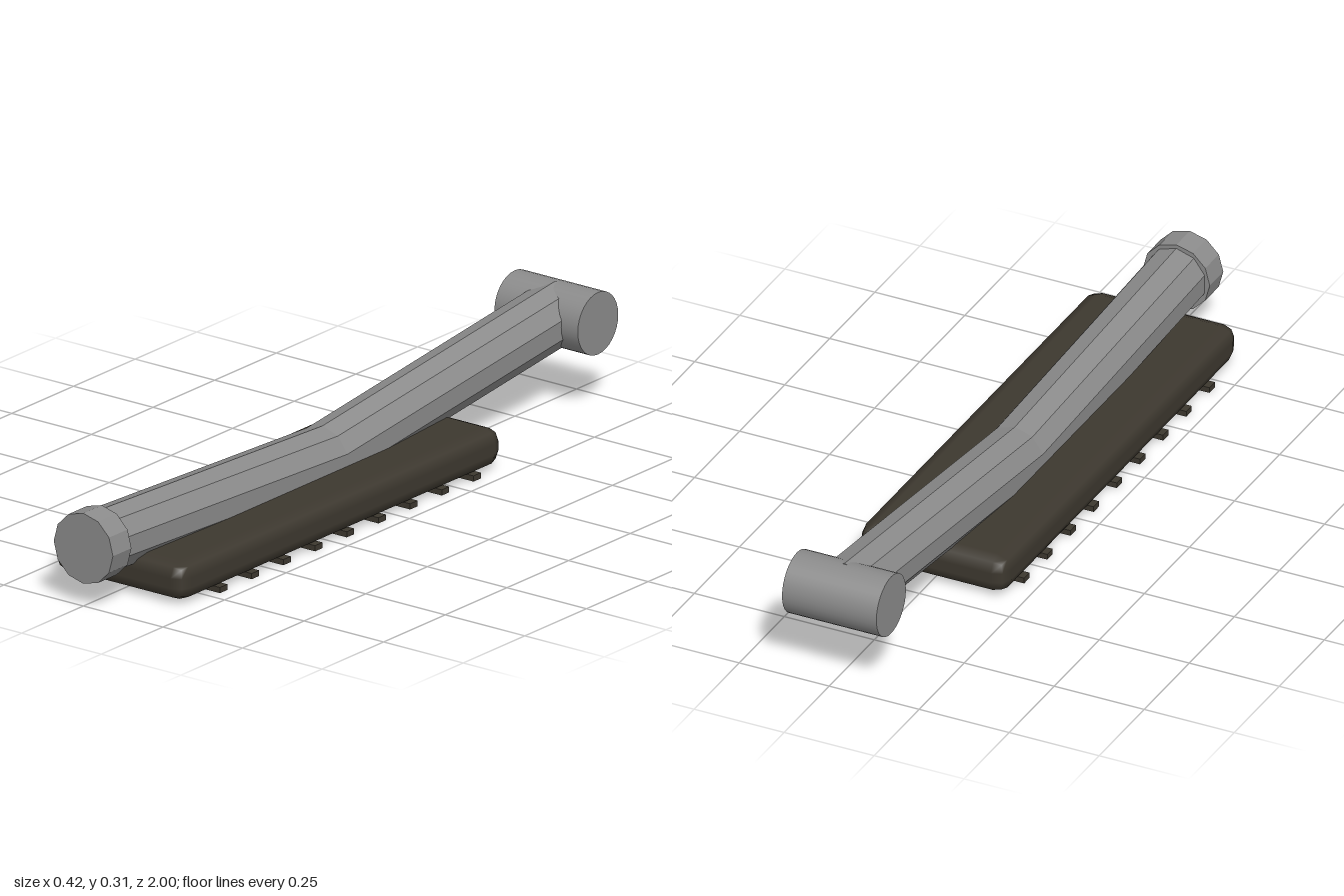
import * as THREE from 'three';
import { RoundedBoxGeometry } from 'three/addons/geometries/RoundedBoxGeometry.js';

export function createModel() {
  const model = new THREE.Group();
  model.name = 'footPeg';

  const metal = new THREE.MeshStandardMaterial({ name: 'grey metal', color: 0x8b8b8b });
  const metalFlat = new THREE.MeshStandardMaterial({ name: 'grey metal faceted', color: 0x8b8b8b, flatShading: true });
  const rubber = new THREE.MeshStandardMaterial({ name: 'dark rubber', color: 0x3d382f });

  function add(name, geometry, material, x, y, z) {
    const mesh = new THREE.Mesh(geometry, material);
    mesh.name = name;
    mesh.position.set(x, y, z);
    model.add(mesh);
    return mesh;
  }

  // Bent ten-sided shaft: three upright cross-sections placed along z
  const stations = [{ z: -0.915, y: 0.227 }, { z: 0.03, y: 0.115 }, { z: 0.93, y: 0.152 }];
  const shaft = new THREE.CylinderGeometry(0.083, 0.083, 2, 10, 2).rotateX(Math.PI / 2);
  const p = shaft.attributes.position;
  for (let i = 0; i < p.count; i++) {
    const s = stations[Math.round(p.getZ(i)) + 1];
    p.setY(i, p.getY(i) + s.y);
    p.setZ(i, s.z);
  }
  shaft.computeVertexNormals();
  add('shaft', shaft, metalFlat, 0, 0, 0);

  // Front end cap
  add('endCap', new THREE.CylinderGeometry(0.093, 0.093, 0.075, 12).rotateX(Math.PI / 2),
    metalFlat, 0, 0.152, 0.9625);

  // Pivot tube across the back end
  add('pivotTube', new THREE.CylinderGeometry(0.082, 0.082, 0.262, 32).rotateZ(Math.PI / 2),
    metal, 0, 0.226, -0.918);

  // Rubber pad with bevelled edges
  add('pad', new RoundedBoxGeometry(0.414, 0.102, 1.306, 1, 0.038), rubber, 0, 0.058, 0.212);

  // Tread bars under the pad
  const tread = new THREE.BoxGeometry(0.422, 0.015, 0.03);
  for (let i = 0; i < 9; i++) {
    add('treadBar', tread, rubber, 0, 0.0075, -0.325 + i * 0.1285);
  }

  return model;
}
